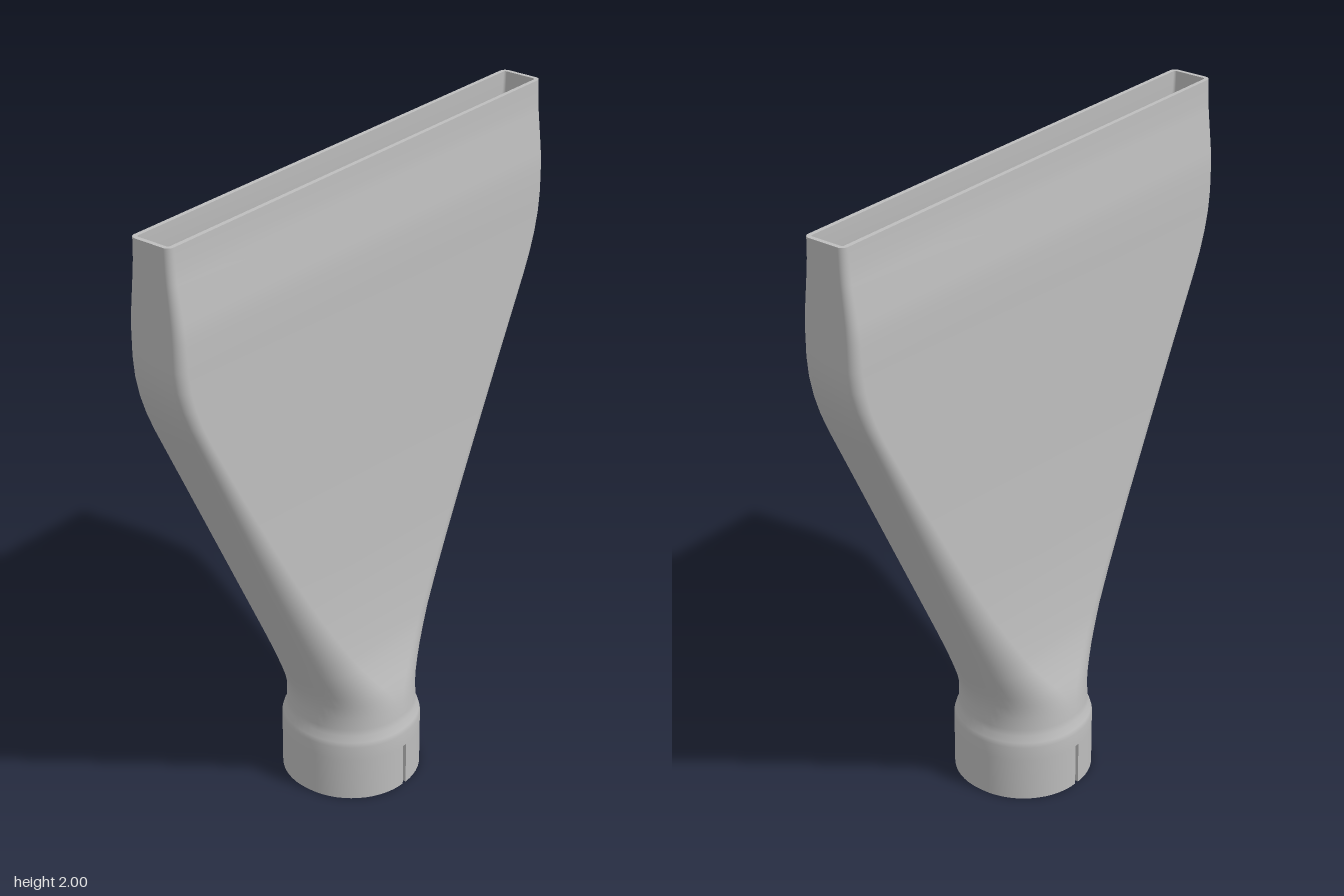
import * as THREE from 'three';

const N = 14;               // segments per rounded corner
const RING = 4 * (N + 1);   // points per cross-section
const WALL = 0.013;
const SLOT = 0.007;         // half width of the collar slots
const SLOT_SEGMENTS = [RING - 1, 2 * N + 1]; // ring segments facing +x and -x

// cross-sections: height, half thickness x, half width z, corner radius
const SECTIONS = [
  [0, 0.208, 0.208, 0.201], [0.14, 0.208, 0.208, 0.201], [0.185, 0.208, 0.208, 0.201],
  [0.2, 0.204, 0.204, 0.197], [0.22, 0.195, 0.196, 0.188], [0.24, 0.193, 0.194, 0.186],
  [0.28, 0.188, 0.194, 0.181], [0.32, 0.18, 0.201, 0.172], [0.36, 0.168, 0.216, 0.158],
  [0.4, 0.156, 0.235, 0.146], [0.45, 0.144, 0.259, 0.132], [0.5, 0.135, 0.283, 0.122],
  [0.6, 0.124, 0.332, 0.106], [0.7, 0.116, 0.381, 0.092], [0.8, 0.11, 0.43, 0.081],
  [1.0, 0.103, 0.527, 0.064], [1.2, 0.098, 0.624, 0.05], [1.42, 0.095, 0.731, 0.038],
  [1.48, 0.094, 0.758, 0.036], [1.54, 0.093, 0.779, 0.034], [1.6, 0.092, 0.793, 0.032],
  [1.66, 0.092, 0.798, 0.03], [1.74, 0.091, 0.798, 0.028], [1.79, 0.087, 0.798, 0.026],
  [1.9, 0.073, 0.798, 0.022], [1.94, 0.069, 0.798, 0.021], [2, 0.067, 0.798, 0.02],
];

// rounded rectangle at one height, inset by the given amount
function ring([y, hx, hz, r], inset) {
  const points = [];
  for (let q = 0; q < 4; q++) {
    const sx = q === 0 || q === 3 ? 1 : -1;
    const sz = q < 2 ? 1 : -1;
    for (let k = 0; k <= N; k++) {
      const a = (q + k / N) * Math.PI / 2;
      points.push([
        sx * (hx - r) + (r - inset) * Math.cos(a), y,
        sz * (hz - r) + (r - inset) * Math.sin(a),
      ]);
    }
  }
  return points;
}

// skin a list of rings; skip(i, j) leaves a face open
function skin(rings, closed = true, skip = () => false) {
  const count = rings[0].length;
  const index = [];
  for (let i = 0; i < rings.length - 1; i++) {
    for (let j = 0; j < (closed ? count : count - 1); j++) {
      if (skip(i, j)) continue;
      const k = (j + 1) % count;
      const a = i * count + j, b = i * count + k;
      const c = b + count, d = a + count;
      index.push(a, d, c, a, c, b);
    }
  }
  const geometry = new THREE.BufferGeometry();
  geometry.setAttribute('position', new THREE.Float32BufferAttribute(rings.flat(2), 3));
  geometry.setIndex(index);
  geometry.computeVertexNormals();
  return geometry;
}

export function createModel() {
  const model = new THREE.Group();
  model.name = 'flatNozzle';
  const plastic = new THREE.MeshStandardMaterial({ color: 0xbdbdbd, side: THREE.DoubleSide });
  plastic.name = 'grey plastic';
  const add = (name, geometry) => {
    const mesh = new THREE.Mesh(geometry, plastic);
    mesh.name = name;
    model.add(mesh);
  };

  const outer = SECTIONS.map((s) => ring(s, 0));
  const inner = SECTIONS.map((s) => ring(s, WALL));
  const last = SECTIONS.length - 1;
  const isSlot = (j) => SLOT_SEGMENTS.includes(j);

  // outer and inner walls, open at the two collar slots
  add('outerShell', skin(outer, true, (i, j) => i === 0 && isSlot(j)));
  add('innerShell', skin([...inner].reverse(), true, (i, j) => i === last - 1 && isSlot(j)));

  // rims joining the walls
  add('collarRim', skin([inner[0], outer[0]], true, (i, j) => isSlot(j)));
  add('mouthRim', skin([outer[last], inner[last]]));

  // cut faces of each slot
  SLOT_SEGMENTS.forEach((j, n) => {
    const k = (j + 1) % RING;
    const edge = (w) => [w[0][j], w[1][j], w[1][k], w[0][k]];
    const faces = skin([edge(outer), edge(inner)], false).toNonIndexed();
    faces.computeVertexNormals();
    add(n === 0 ? 'leftSlotEdges' : 'rightSlotEdges', faces);
  });

  return model;
}
